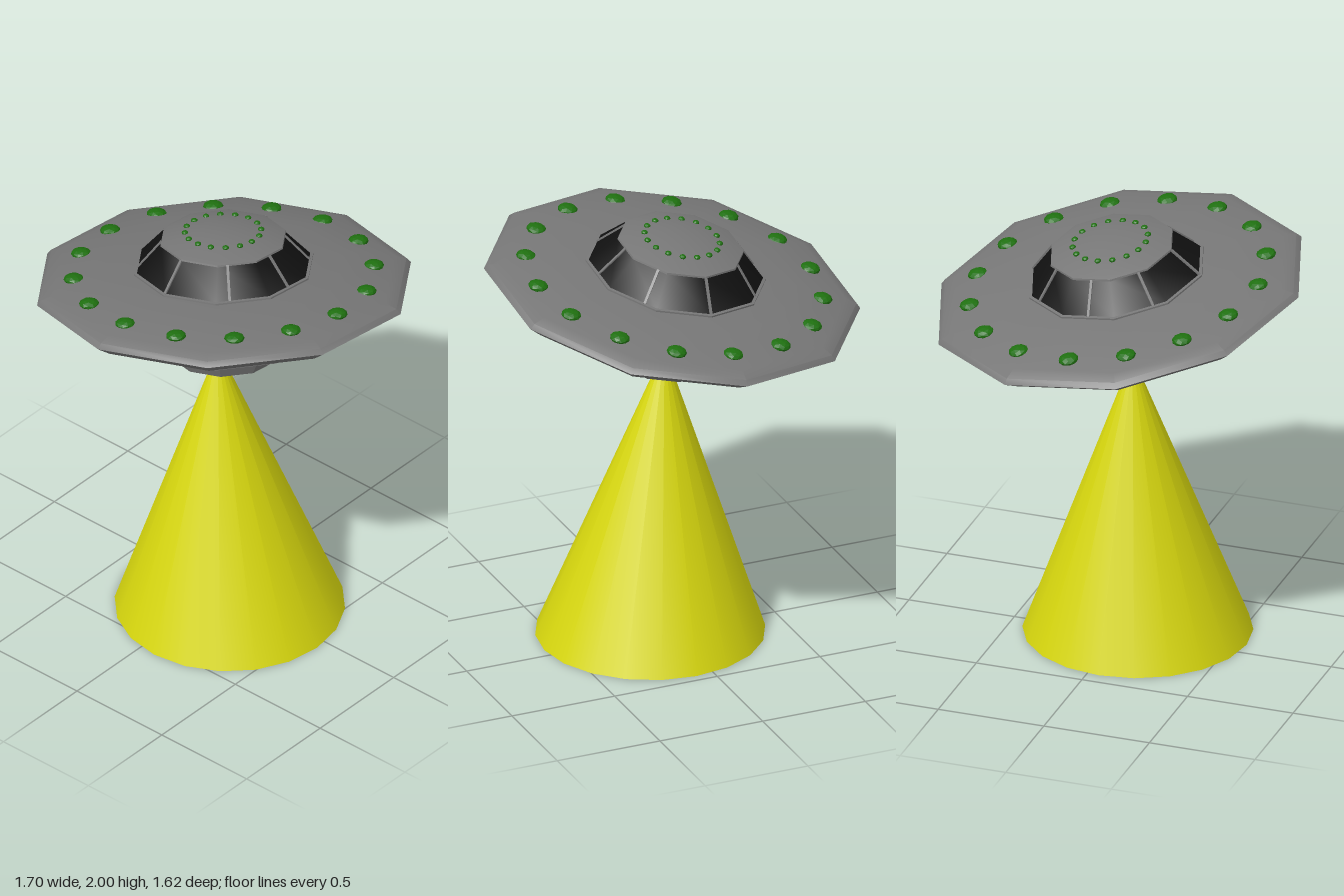
import * as THREE from 'three';
import { toCreasedNormals } from 'three/addons/utils/BufferGeometryUtils.js';

const SIDES = 10;
const mat = (color, extra = {}) => new THREE.MeshStandardMaterial({ color, ...extra });

export function createModel() {
  const model = new THREE.Group();
  const saucer = new THREE.Group();
  saucer.name = 'saucer';
  saucer.position.set(0, 1.7, 0);
  saucer.quaternion.setFromUnitVectors(
    new THREE.Vector3(0, 1, 0), new THREE.Vector3(0.13, 1, -0.135).normalize());
  model.add(saucer);

  const hullGrey = mat(0x777777);
  const glass = mat(0x111111);
  const green = mat(0x1f7010, { flatShading: true });

  const add = (name, geometry, material, parent = saucer) => {
    const mesh = new THREE.Mesh(geometry, material);
    mesh.name = name;
    parent.add(mesh);
    return mesh;
  };
  // Ten-sided body turned from a profile of [radius, height], a corner on +x
  const turned = (name, profile, material) => {
    const points = profile.map(([r, h]) => new THREE.Vector2(r, h));
    const geo = new THREE.LatheGeometry(points, SIDES, Math.PI / 2);
    return add(name, toCreasedNormals(geo, 0.5), material);
  };

  // Hull: open base, lower cone, collar, underside, sharp rim and upper deck
  turned('hull', [
    [0.19, -0.345], [0.24, -0.345], [0.32, -0.215], [0.44, -0.215], [0.445, -0.115],
    [0.78, -0.05], [0.855, 0], [0.835, 0.022], [0.78, 0.042], [0.55, 0.083], [0.4, 0.093],
  ], hullGrey);
  turned('hatchRecess', [[0, -0.25], [0.19, -0.25], [0.19, -0.345]], mat(0xcccccc));

  // Cabin: lower trim, dark window band, upper trim and domed roof
  turned('windowSill', [[0.41, 0.086], [0.41, 0.1], [0.39, 0.103]], hullGrey);
  turned('windowBand', [[0.4, 0.098], [0.283, 0.224]], glass);
  turned('cabinRoof', [
    [0.278, 0.218], [0.288, 0.222], [0.286, 0.23], [0.265, 0.237],
    [0.17, 0.261], [0.09, 0.272], [0, 0.276],
  ], hullGrey);

  // Eight bars lying on the sloping windows
  for (let i = 0; i < 8; i++) {
    const angle = (i * Math.PI) / 4;
    const step = (2 * Math.PI) / SIDES;
    // Distance to a flat side relative to the corner radius
    const k = Math.cos(step / 2) / Math.cos((angle % step) - step / 2);
    const low = new THREE.Vector2(0.398 * k, 0.1);
    const high = new THREE.Vector2(0.284 * k, 0.224);
    const mid = low.clone().add(high).multiplyScalar(0.5);
    const slope = Math.atan2(high.y - low.y, high.x - low.x);
    const holder = new THREE.Group();
    holder.name = 'windowBarHolder';
    holder.rotation.y = angle;
    saucer.add(holder);
    const bar = add('windowBar',
      new THREE.BoxGeometry(low.distanceTo(high), 0.012, 0.012), hullGrey, holder);
    bar.position.set(mid.x, mid.y, 0);
    bar.rotation.z = slope;
  }

  // Rings of faceted lamps on the deck and the roof
  const lampRing = (name, count, radius, height, size, flatness) => {
    const geo = new THREE.IcosahedronGeometry(size, 1);
    geo.scale(1, flatness, 1);
    for (let i = 0; i < count; i++) {
      const a = (i / count) * Math.PI * 2;
      const lamp = add(name, geo, green);
      lamp.position.set(radius * Math.cos(a), height, radius * Math.sin(a));
      lamp.rotation.y = -a;
    }
  };
  lampRing('deckLamp', 16, 0.67, 0.058, 0.046, 0.5);
  lampRing('roofLamp', 16, 0.17, 0.262, 0.015, 0.7);

  // Light beam: a cone leaning slightly, standing flat on the ground
  const height = 1.38;
  const beamGeo = new THREE.ConeGeometry(0.515, height, 20);
  beamGeo.translate(0, height / 2, 0);
  beamGeo.applyMatrix4(new THREE.Matrix4().makeShear(0, 0, 0, -0.07 / height, 0, 0));
  const pos = beamGeo.attributes.position;
  // Keep the lean strictly along z
  const base = new THREE.ConeGeometry(0.515, height, 20).attributes.position;
  for (let i = 0; i < pos.count; i++) {
    const y = base.getY(i) + height / 2;
    pos.setXYZ(i, base.getX(i), y, base.getZ(i) - (0.07 * y) / height);
  }
  const beam = add('lightBeam', beamGeo, mat(0xd9d90e), model);
  beam.position.set(-0.055, 0, 0.082);

  return model;
}
